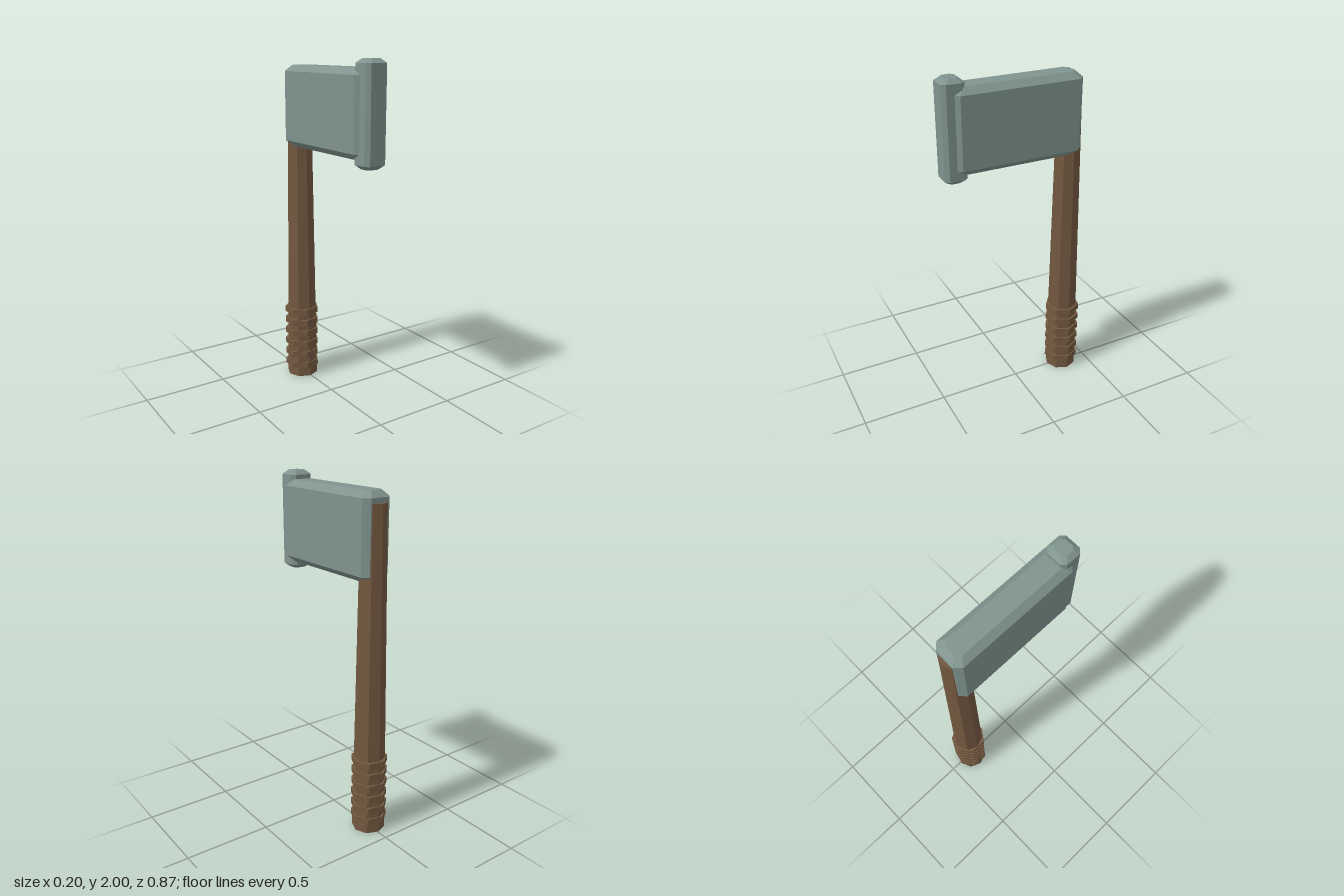
import * as THREE from 'three';
import { ConvexGeometry } from 'three/addons/geometries/ConvexGeometry.js';

const steel = new THREE.MeshStandardMaterial({ name: 'steel', color: 0x80948f, flatShading: true });
const wood = new THREE.MeshStandardMaterial({ name: 'wood', color: 0x735840, flatShading: true });

const AXIS_X = -0.005;
const HANDLE_Z = -0.334;

// Corner points of a rectangle with cut corners, at height y
function octagon(hx, hz, cut, y) {
  const points = [];
  for (const sx of [-1, 1]) {
    for (const sz of [-1, 1]) {
      points.push(new THREE.Vector3(sx * hx, y, sz * (hz - cut)));
      points.push(new THREE.Vector3(sx * (hx - cut), y, sz * hz));
    }
  }
  return points;
}

// Box with every edge and corner bevelled, centred on the origin
function bevelledBox(hx, hy, hz, cut, bevelY, inset, capCut) {
  const points = [];
  for (const s of [-1, 1]) {
    points.push(...octagon(hx, hz, cut, s * (hy - bevelY)));
    points.push(...octagon(hx - inset, hz - inset, capCut, s * hy));
  }
  return new ConvexGeometry(points);
}

function addMesh(group, name, geometry, material, x, y, z) {
  const mesh = new THREE.Mesh(geometry, material);
  mesh.name = name;
  mesh.position.set(x, y, z);
  group.add(mesh);
  return mesh;
}

export function createModel() {
  const model = new THREE.Group();
  model.name = 'cleaverAxe';

  // Tapered eight-sided handle
  const shaft = new THREE.CylinderGeometry(0.069, 0.096, 1.89, 8);
  addMesh(model, 'handle', shaft, wood, AXIS_X, 0.945, HANDLE_Z);

  // Seven-sided grip bands, with a corner pointing to +x
  const grip = new THREE.Group();
  grip.name = 'grip';
  const band = new THREE.CylinderGeometry(0.105, 0.105, 0.036, 7);
  band.rotateY(Math.PI / 2 - Math.PI * 2 / 7 * 2 + Math.PI * 4 / 7 - Math.PI / 2);
  band.rotateY(-Math.PI / 2 + Math.PI / 2);
  for (let i = 0; i < 6; i++) {
    const ring = addMesh(grip, 'gripBand', band, wood, AXIS_X, 0.078 + i * 0.072, HANDLE_Z);
    ring.rotation.y = Math.PI / 2;
  }
  model.add(grip);

  // Long bevelled blade block
  addMesh(model, 'blade', bevelledBox(0.09, 0.236, 0.38, 0.033, 0.035, 0.036, 0.025),
    steel, AXIS_X, 1.717, 0);

  // Upright bar on the striking edge
  addMesh(model, 'edgeBar', bevelledBox(0.068, 0.282, 0.065, 0.022, 0.023, 0.027, 0.017),
    steel, AXIS_X, 1.718, 0.37);

  return model;
}
